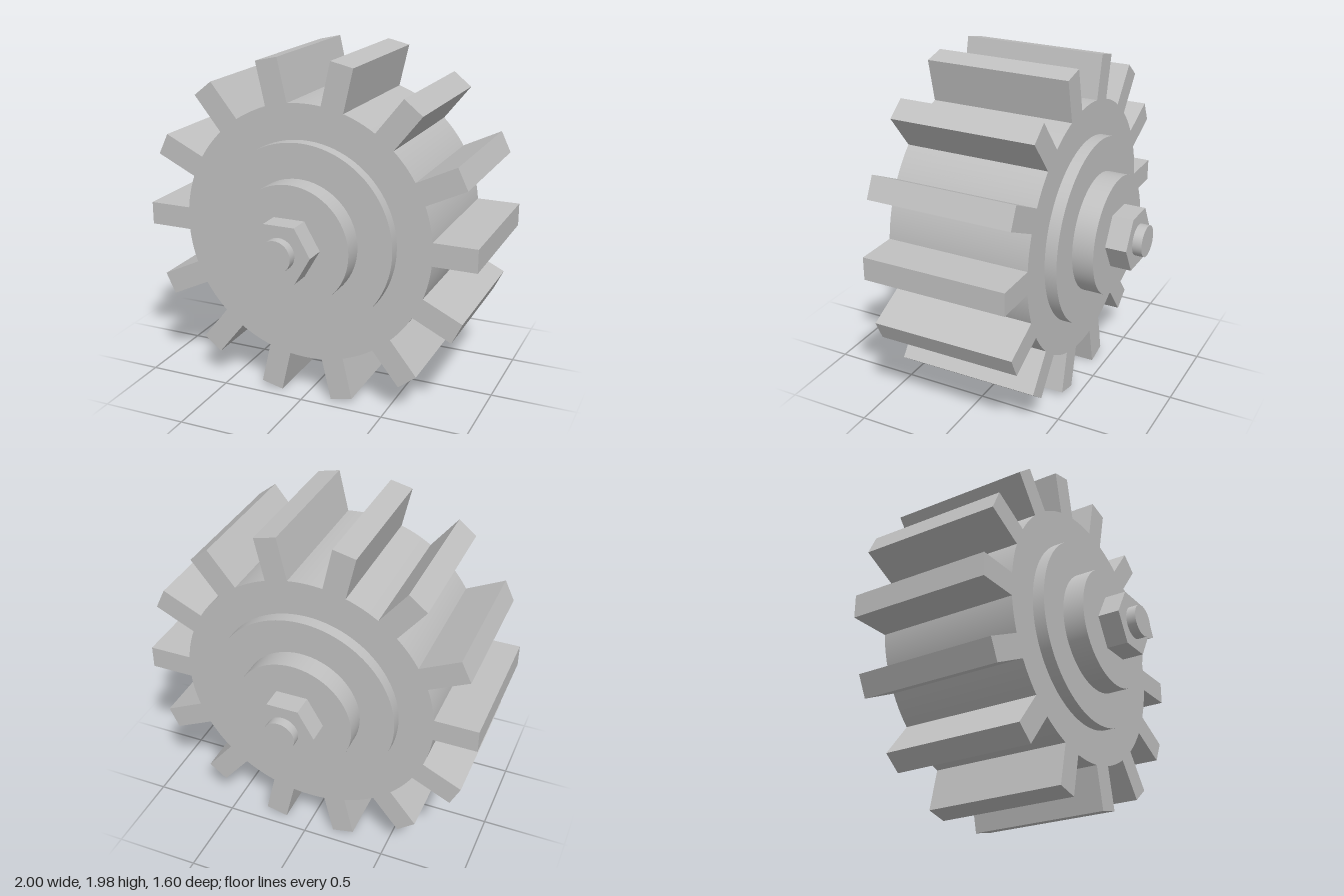
import * as THREE from 'three';
import { toCreasedNormals } from 'three/addons/utils/BufferGeometryUtils.js';

const TEETH = 14, ROOT = 0.75, TIP = 1.0, HALF_TOOTH = 0.067;
const HALF_WIDTH = 0.425, AXIS_Y = 0.99;

// Outline of the gear: straight-sided teeth joined by root arcs
function gearShape() {
  const shape = new THREE.Shape();
  const step = (Math.PI * 2) / TEETH;
  const rootAngle = Math.asin(HALF_TOOTH / ROOT);
  const rootX = ROOT * Math.cos(rootAngle);
  for (let i = 0; i < TEETH; i++) {
    const a = i * step, c = Math.cos(a), s = Math.sin(a);
    const at = (r, t) => [r * c - t * s, r * s + t * c];
    if (i === 0) shape.moveTo(...at(rootX, -HALF_TOOTH));
    shape.lineTo(...at(TIP, -HALF_TOOTH));
    shape.lineTo(...at(TIP, HALF_TOOTH));
    shape.lineTo(...at(rootX, HALF_TOOTH));
    shape.absarc(0, 0, ROOT, a + rootAngle, a + step - rootAngle, false);
  }
  return shape;
}

export function createModel() {
  const model = new THREE.Group();
  model.name = 'gearWheel';
  const steel = new THREE.MeshStandardMaterial({ color: 0xc0c0c0 });
  steel.name = 'grey steel';

  const add = (name, geometry) => {
    const mesh = new THREE.Mesh(geometry, steel);
    mesh.name = name;
    mesh.position.y = AXIS_Y;
    model.add(mesh);
    return mesh;
  };

  // Toothed body
  const body = new THREE.ExtrudeGeometry(gearShape(), {
    depth: HALF_WIDTH * 2, bevelEnabled: false, curveSegments: 8,
  });
  body.translate(0, 0, -HALF_WIDTH);
  add('toothedBody', toCreasedNormals(body, 0.5));

  // Stepped hub on both faces: name, radius, inner z, outer z, sides
  const steps = [
    ['Flange', 0.548, 0.425, 0.495, 96],
    ['Collar', 0.348, 0.495, 0.62, 72],
    ['Nut', 0.182, 0.62, 0.745, 6],
    ['AxleEnd', 0.092, 0.745, 0.8, 48],
  ];
  for (const side of [1, -1]) {
    for (const [name, radius, z0, z1, sides] of steps) {
      let geometry = new THREE.CylinderGeometry(radius, radius, z1 - z0, sides);
      geometry.rotateX(Math.PI / 2);
      // Turn the hexagon so two corners lie on the x axis
      if (sides === 6) {
        geometry.rotateZ(Math.PI / 2);
        geometry = toCreasedNormals(geometry, 0.5);
      }
      const mesh = add((side > 0 ? 'front' : 'back') + name, geometry);
      mesh.position.z = (side * (z0 + z1)) / 2;
    }
  }
  return model;
}
